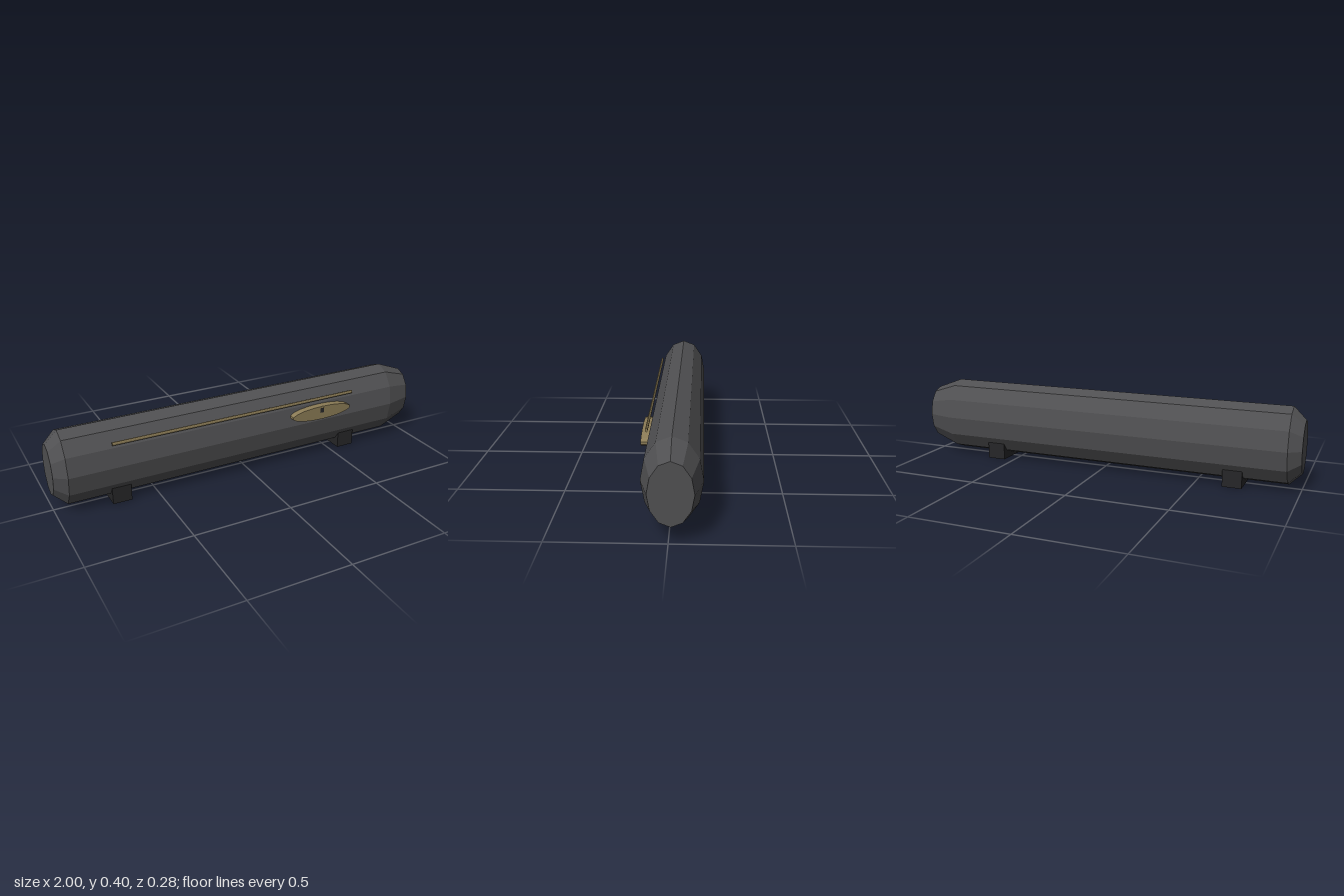
import * as THREE from 'three';

const material = (color) => new THREE.MeshStandardMaterial({ color, flatShading: true });

export function createModel() {
  const group = new THREE.Group();
  const grey = material(0x505052);
  const dark = material(0x262628);
  const brass = material(0x8c7c56);

  const add = (name, geometry, mat, x, y, z) => {
    const mesh = new THREE.Mesh(geometry, mat);
    mesh.name = name;
    mesh.position.set(x, y, z);
    group.add(mesh);
    return mesh;
  };

  // Twelve-sided oval body with tapered, capped ends, lying along x
  const profile = [[0, -1], [0.13, -1], [0.19, -0.94], [0.19, 0.86], [0.138, 1], [0, 1]]
    .map(([r, t]) => new THREE.Vector2(r, t));
  const bodyGeometry = new THREE.LatheGeometry(profile, 12);
  bodyGeometry.rotateZ(-Math.PI / 2);
  bodyGeometry.scale(1, 1, 0.13 / 0.19);
  add('body', bodyGeometry, grey, 0, 0.211, -0.01);

  // Block feet
  for (const [name, x] of [['rightFoot', -0.685], ['leftFoot', 0.597]]) {
    add(name, new THREE.BoxGeometry(0.095, 0.09, 0.183), dark, x, 0.045, -0.01);
  }

  // Long thin rod along the front
  const rodGeometry = new THREE.CylinderGeometry(0.009, 0.009, 1.32, 12);
  rodGeometry.rotateZ(-Math.PI / 2);
  rodGeometry.scale(1, 1, 0.68);
  add('trimRod', rodGeometry, brass, -0.063, 0.333, 0.112);

  // Flat oval plate with a small dark keyhole block
  const plateGeometry = new THREE.CylinderGeometry(1, 1, 0.04, 18);
  plateGeometry.rotateX(Math.PI / 2);
  plateGeometry.scale(0.176, 0.036, 1);
  add('ovalPlate', plateGeometry, brass, 0.398, 0.264, 0.12);
  add('keyhole', new THREE.BoxGeometry(0.02, 0.025, 0.02), dark, 0.397, 0.277, 0.131);

  return group;
}
